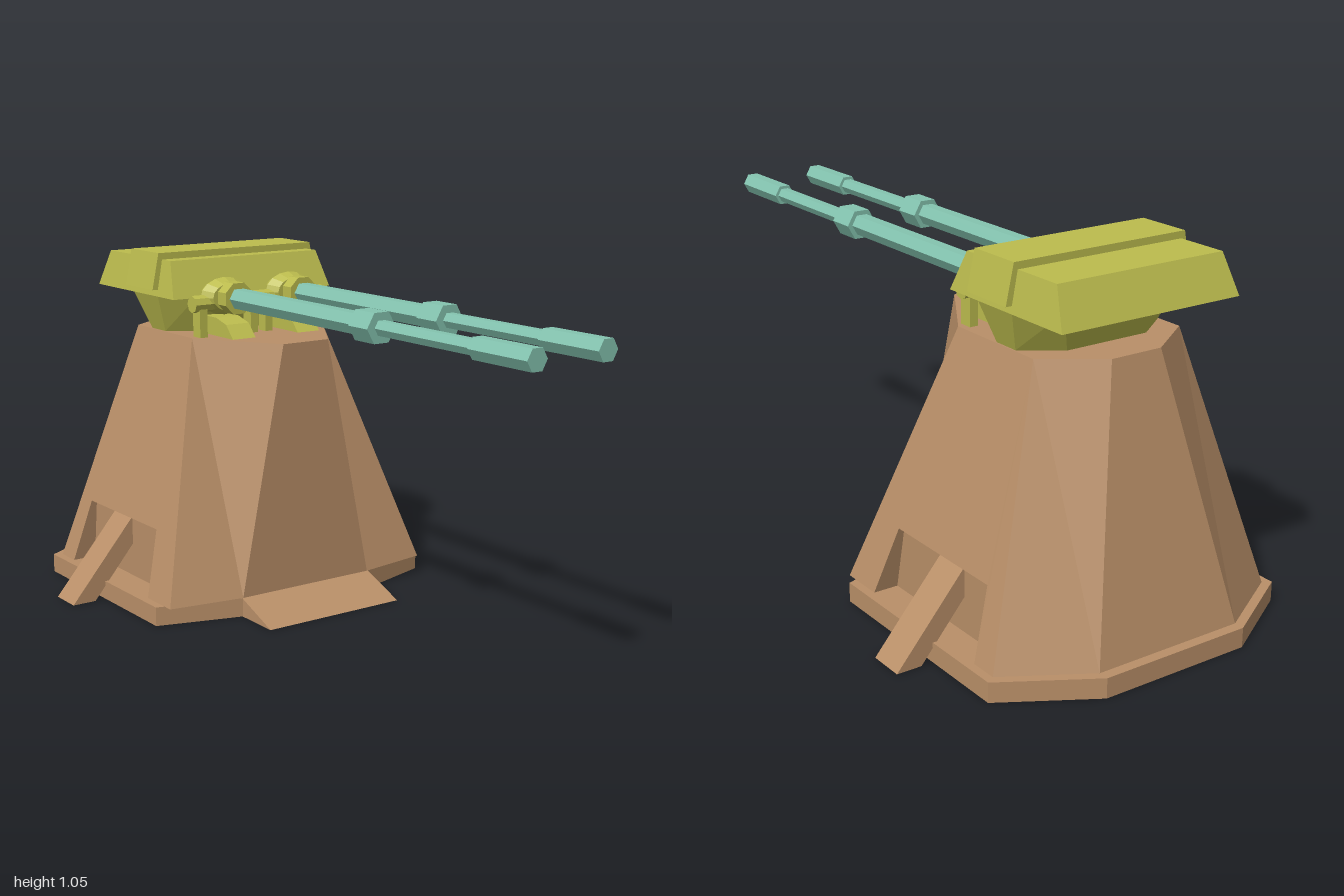
import * as THREE from 'three';

// Flat-shaded mesh geometry from a list of convex polygons
function facesGeometry(faces) {
  const pos = [];
  for (const f of faces)
    for (let i = 1; i < f.length - 1; i++) pos.push(...f[0], ...f[i], ...f[i + 1]);
  const g = new THREE.BufferGeometry();
  g.setAttribute('position', new THREE.Float32BufferAttribute(pos, 3));
  g.computeVertexNormals();
  return g;
}

const flipZ = (faces) => faces.map((f) => f.map(([x, y, z]) => [x, y, -z]).reverse());

// Closed plan outline from its +z half, listed from -x to +x
const outline = (half) => [...half, ...half.slice().reverse().map(([x, z]) => [x, -z])];

// Closed solid between two outlines
function loft(lower, y0, upper, y1) {
  const b = outline(lower).map(([x, z]) => [x, y0, z]);
  const t = outline(upper).map(([x, z]) => [x, y1, z]);
  const n = b.length;
  const sides = b.map((p, i) => [p, b[(i + 1) % n], t[(i + 1) % n], t[i]]);
  return facesGeometry([...sides, t, b.slice().reverse()]);
}

export function createModel() {
  const model = new THREE.Group();
  const brown = new THREE.MeshStandardMaterial({ color: 0xb98f68, side: THREE.DoubleSide });
  brown.name = 'clay brown';
  const olive = new THREE.MeshStandardMaterial({ color: 0xbcbc4e });
  olive.name = 'olive yellow';
  const teal = new THREE.MeshStandardMaterial({ color: 0x84c4b0 });
  teal.name = 'pale teal';

  function add(name, geometry, material, parent = model) {
    const m = new THREE.Mesh(geometry, material);
    m.name = name;
    parent.add(m);
    return m;
  }
  function box(name, x0, x1, y0, y1, z0, z1, material, parent) {
    const m = add(name, new THREE.BoxGeometry(x1 - x0, y1 - y0, z1 - z0), material, parent);
    m.position.set((x0 + x1) / 2, (y0 + y1) / 2, (z0 + z1) / 2);
    return m;
  }
  // Prism cut from a (z, y) profile, spanning x0..x1
  function prismX(name, points, x0, x1, material) {
    const g = new THREE.ExtrudeGeometry(new THREE.Shape(points.map(([z, y]) => new THREE.Vector2(-z, y))),
      { depth: x1 - x0, bevelEnabled: false });
    g.rotateY(Math.PI / 2).translate(x0, 0, 0);
    return add(name, g, material);
  }
  // Prism cut from an (x, y) profile, centred on z
  function prismZ(name, points, z, width, material, parent) {
    const g = new THREE.ExtrudeGeometry(new THREE.Shape(points.map((p) => new THREE.Vector2(...p))),
      { depth: width, bevelEnabled: false });
    g.translate(0, 0, z - width / 2);
    return add(name, g, material, parent);
  }

  // Plinth ring
  const toV = (half) => outline(half).map(([x, z]) => new THREE.Vector2(x, -z));
  const ring = new THREE.Shape(toV([[-1, 0.23], [-0.85, 0.485], [-0.19, 0.485], [-0.115, 0.235]]));
  ring.holes.push(new THREE.Path(toV([[-0.95, 0.22], [-0.84, 0.385], [-0.19, 0.385], [-0.15, 0.22]])));
  add('plinth', new THREE.ExtrudeGeometry(ring, { depth: 0.057, bevelEnabled: false }).rotateX(-Math.PI / 2), brown);

  // Tower shell with a recess in each side
  const yb = 0.057, yt = 0.805;
  const b = [[-0.97, 0.23], [-0.835, 0.46], [-0.15, 0.46], [-0.115, 0.23]].map(([x, z]) => [x, yb, z]);
  const t = [[-0.8, 0.08], [-0.69, 0.24], [-0.365, 0.24], [-0.115, 0.08]].map(([x, z]) => [x, yt, z]);
  const open = [[-0.755, yb, 0.46], [-0.28, yb, 0.46], [-0.32, 0.25, 0.403], [-0.73, 0.25, 0.403]];
  const [A, D, C, B] = open;
  const [a, d, c, e] = open.map(([x, y]) => [x, y, 0.385]);
  const half = [
    [b[0], b[1], t[1]], [b[0], t[1], t[0]],
    [b[1], A, B, t[1]], [D, b[2], t[2], C], [B, C, t[2], t[1]],
    [b[2], b[3], t[2]], [b[3], t[3], t[2]],
    [a, d, c, e], [A, a, e, B], [d, D, C, c], [B, e, c, C],
  ];
  const neg = ([x, y, z]) => [x, y, -z];
  add('tower', facesGeometry([
    ...half, ...flipZ(half),
    [b[3], neg(b[3]), neg(t[3]), t[3]],
    [neg(b[0]), b[0], t[0], neg(t[0])],
    [...t, ...t.slice().reverse().map(neg)],
  ]), brown);

  // Slanted side struts
  for (const s of [1, -1])
    prismX('sideStrut', [[0.385, 0.246], [0.595, 0], [0.52, 0], [0.385, 0.16]].map(([z, y]) => [z * s, y]),
      -0.605, -0.5, brown);

  // Wedge ramp at the foot of the tower
  prismZ('ramp', [[-0.125, 0], [0.035, 0], [-0.115, 0.057], [-0.125, 0.057]], 0, 0.467, brown);

  // Turret head
  const turret = new THREE.Group();
  turret.name = 'turret';
  model.add(turret);
  add('turretPedestal', loft(
    [[-0.685, 0.13], [-0.61, 0.235], [-0.53, 0.235], [-0.46, 0.13]], yt,
    [[-0.735, 0.18], [-0.65, 0.278], [-0.5, 0.278], [-0.42, 0.18]], 0.925), olive, turret);
  const rect = (x0, x1, z) => [[x0, z], [x1, z]];
  add('turretRoof', loft(rect(-0.858, -0.393, 0.285), 0.92, rect(-0.81, -0.44, 0.265), 1.03), olive, turret);
  add('roofBand', loft(rect(-0.655, -0.49, 0.3), 0.94, rect(-0.655, -0.49, 0.277), 1.05), olive, turret);

  // Shared axle across both guns
  const axle = add('axle', new THREE.CylinderGeometry(0.026, 0.026, 0.47, 8).toNonIndexed(), olive, turret);
  axle.geometry.rotateX(Math.PI / 2).computeVertexNormals();
  axle.position.set(-0.37, 0.905, 0);

  // Twin guns
  const gy = 0.922;
  for (const s of [1, -1]) {
    const gun = new THREE.Group();
    gun.name = s > 0 ? 'leftGun' : 'rightGun';
    model.add(gun);
    const gz = s * 0.117;
    const tube = (name, x0, x1, r, sides, material, turn = 0) => {
      const g = new THREE.CylinderGeometry(r, r, x1 - x0, sides).toNonIndexed();
      g.rotateY(turn).rotateZ(-Math.PI / 2).computeVertexNormals();
      add(name, g, material, gun).position.set((x0 + x1) / 2, gy, gz);
    };
    // Rounded housing, posts and base wedge
    const shell = new THREE.CylinderGeometry(0.75, 1, 0.5, 16).toNonIndexed();
    const rear = new THREE.CylinderGeometry(1, 0.75, 0.5, 16).toNonIndexed();
    for (const [g, x] of [[shell, -0.357], [rear, -0.395]]) {
      g.rotateZ(-Math.PI / 2).scale(0.076, 0.057, 0.084).computeVertexNormals();
      add('gunHousing', g, olive, gun).position.set(x, gy, gz);
    }
    for (const o of [-0.09, 0.09])
      box('gunPost', -0.39, -0.35, yt, 0.9, gz + o - 0.013, gz + o + 0.013, olive, gun);
    prismZ('gunBase', [[-0.47, yt], [-0.268, yt], [-0.305, 0.845], [-0.36, 0.86], [-0.43, 0.86]],
      gz, 0.08, olive, gun);
    tube('gunCollar', -0.345, -0.295, 0.05, 8, olive, Math.PI / 8);
    // Stepped hexagonal barrel
    tube('barrelRear', -0.3, 0.315, 0.033, 6, teal);
    tube('barrelCoupling', 0.315, 0.4, 0.048, 6, teal);
    tube('barrelFront', 0.4, 0.785, 0.023, 6, teal);
    tube('muzzle', 0.785, 1, 0.033, 6, teal);
  }
  return model;
}
